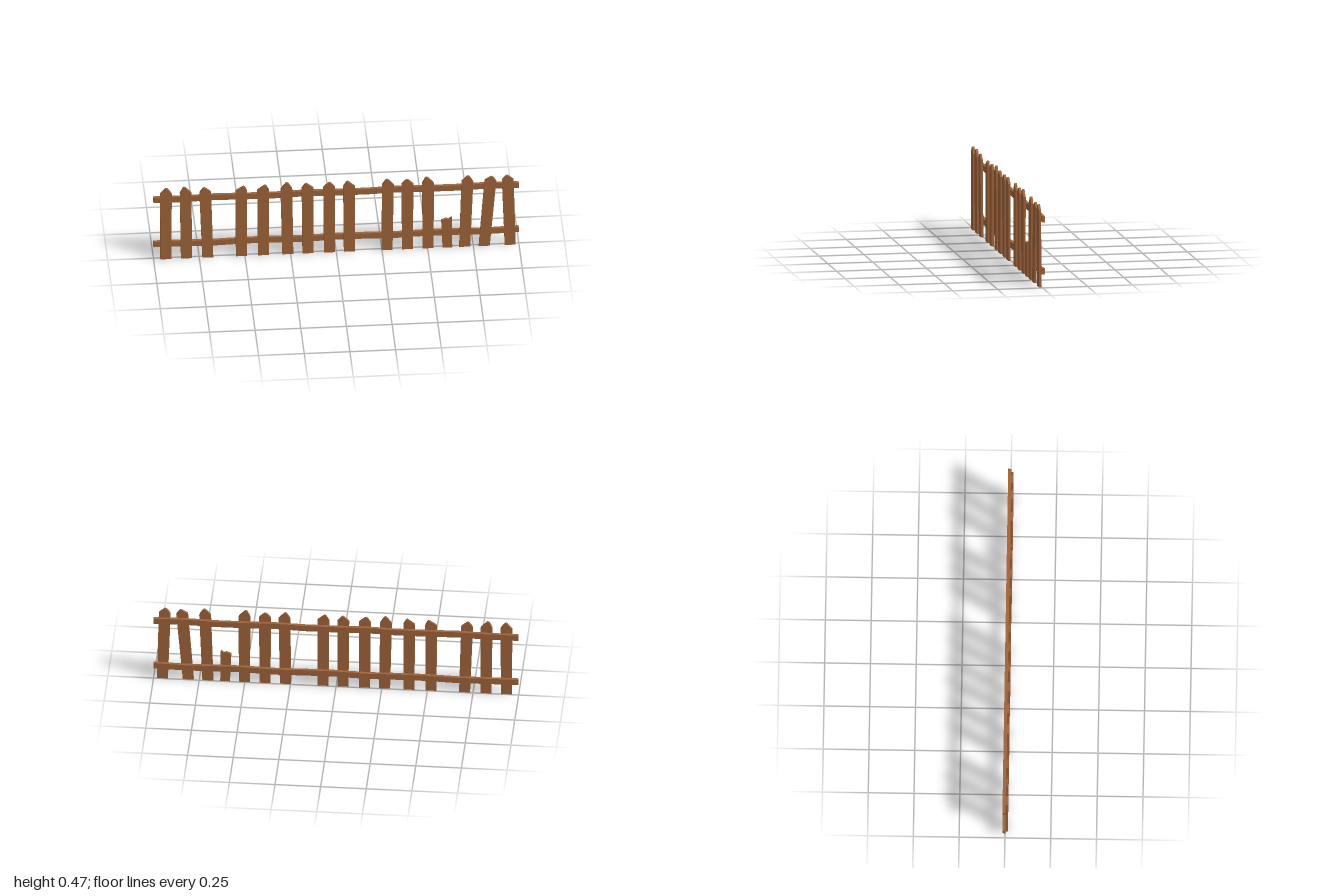
import * as THREE from 'three';

const wood = new THREE.MeshStandardMaterial({ color: 0xa0643a });
wood.name = 'brownWood';

// Flat board cut from an outline, spanning z0 to z1
function board(name, points, z0, z1) {
  const shape = new THREE.Shape(points.map(([x, y]) => new THREE.Vector2(x, y)));
  const geometry = new THREE.ExtrudeGeometry(shape, { depth: z1 - z0, bevelEnabled: false });
  geometry.translate(0, 0, z0);
  const mesh = new THREE.Mesh(geometry, wood);
  mesh.name = name;
  return mesh;
}

// Each picket: foot centre x, shoulder centre x, tip x, tip y
const pickets = [
  [-0.933, -0.932, -0.93, 0.46], [-0.82, -0.824, -0.832, 0.463],
  [-0.703, -0.717, -0.722, 0.455], [-0.519, -0.52, -0.508, 0.453],
  [-0.398, -0.4, -0.39, 0.455], [-0.265, -0.273, -0.27, 0.465],
  [-0.155, -0.157, -0.164, 0.455], [-0.037, -0.039, -0.037, 0.455],
  [0.072, 0.07, 0.062, 0.457], [0.278, 0.283, 0.278, 0.46],
  [0.39, 0.39, 0.388, 0.453], [0.503, 0.502, 0.495, 0.463],
  [0.703, 0.718, 0.722, 0.46], [0.81, 0.844, 0.85, 0.45],
  [0.952, 0.939, 0.936, 0.453],
];

export function createModel() {
  const group = new THREE.Group();
  group.name = 'picketFence';

  // Leaning pointed pickets, a little wider at the shoulders
  pickets.forEach(([foot, shoulder, tip, top], i) => {
    const lean = (shoulder - foot) * 0.1;
    group.add(board(`picket${i + 1}`, [
      [foot - 0.03, 0], [foot + 0.03, 0],
      [shoulder + 0.032, 0.425 - lean], [tip + 0.008, top - 0.004], [tip, top],
      [tip - 0.008, top - 0.004], [shoulder - 0.032, 0.425 + lean],
    ], 0.003, 0.016));
  });

  // Snapped picket with a jagged top
  group.add(board('brokenPicket', [
    [0.582, 0], [0.635, 0], [0.632, 0.197], [0.614, 0.182],
    [0.602, 0.188], [0.575, 0.178], [0.575, 0.168],
  ], 0.003, 0.016));

  // Two slightly uneven rails behind the pickets
  for (const [name, y] of [['lowerRail', 0.088], ['upperRail', 0.38]]) {
    const upper = [], lower = [];
    for (let i = 0; i <= 12; i++) {
      const x = -1 + i / 6;
      const wobble = 0.003 * Math.sin(i * 2.1 + y * 9);
      upper.unshift([x, y + 0.017 + wobble]);
      lower.push([x, y - 0.017 + wobble]);
    }
    group.add(board(name, [...lower, ...upper], -0.014, 0.003));
  }
  return group;
}
